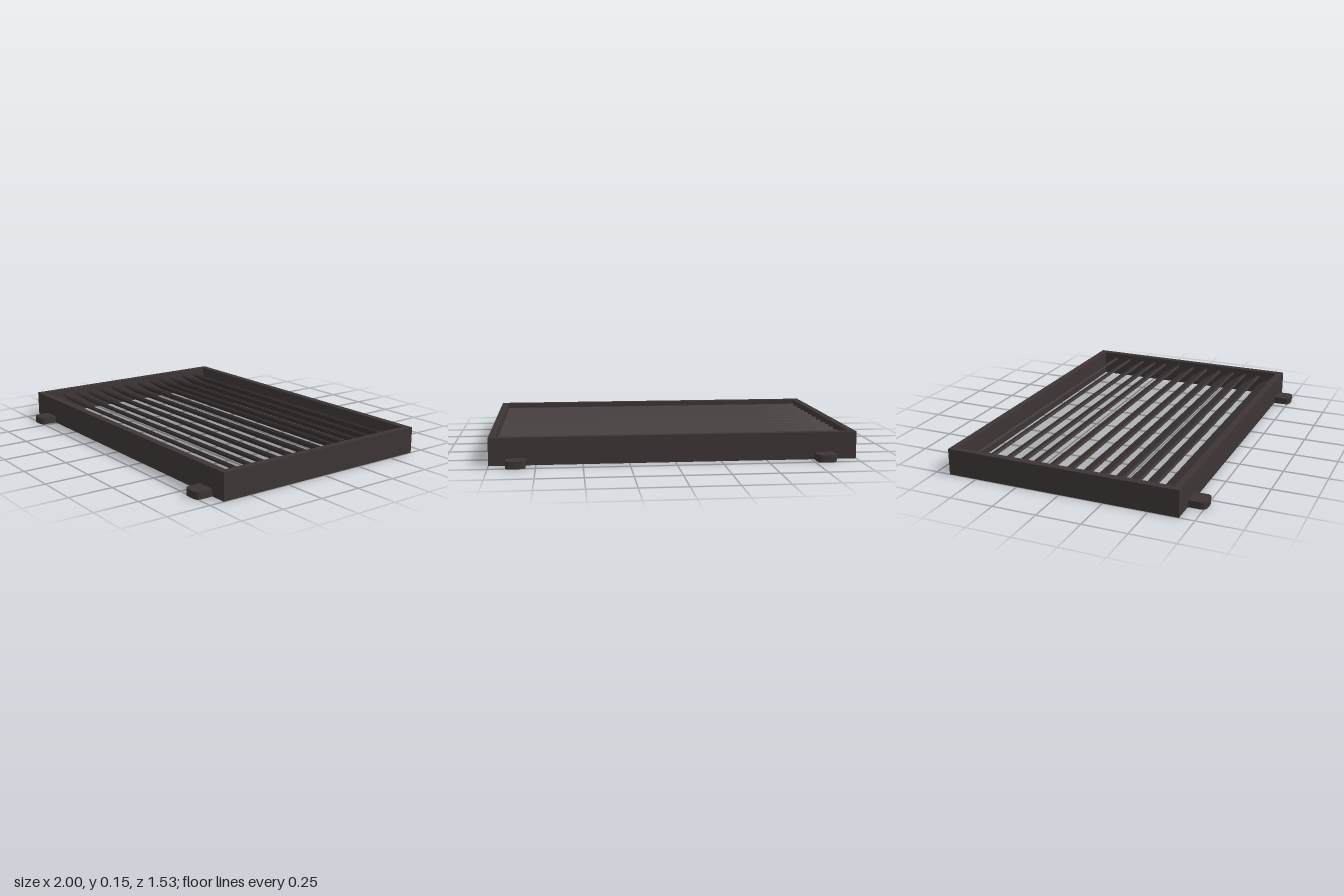
import * as THREE from 'three';

const WIDTH = 2, DEPTH = 1.333, HEIGHT = 0.15, RIM = 0.04;

function rectangle(target, w, d) {
  target.moveTo(-w / 2, -d / 2);
  target.lineTo(w / 2, -d / 2);
  target.lineTo(w / 2, d / 2);
  target.lineTo(-w / 2, d / 2);
  target.closePath();
  return target;
}

// Extrudes a plan outline upwards from y = 0
function extrudeUp(shape, height) {
  const geometry = new THREE.ExtrudeGeometry(shape, { depth: height, bevelEnabled: false, curveSegments: 5 });
  return geometry.rotateX(-Math.PI / 2);
}

// Round-ended tab, reaching out along plan +y
function tabOutline() {
  const shape = new THREE.Shape();
  shape.moveTo(-0.053, 0);
  shape.lineTo(0.053, 0);
  shape.lineTo(0.053, 0.072);
  shape.quadraticCurveTo(0.05, 0.093, 0.032, 0.096);
  shape.quadraticCurveTo(0, 0.1, -0.032, 0.096);
  shape.quadraticCurveTo(-0.05, 0.093, -0.053, 0.072);
  shape.closePath();
  return shape;
}

export function createModel() {
  const model = new THREE.Group();
  model.name = 'louverVent';
  const darkMetal = new THREE.MeshStandardMaterial({ color: 0x3d3535 });
  darkMetal.name = 'dark brown metal';

  const add = (name, geometry, parent = model) => {
    const mesh = new THREE.Mesh(geometry, darkMetal);
    mesh.name = name;
    parent.add(mesh);
    return mesh;
  };

  // Open rectangular frame
  const outline = rectangle(new THREE.Shape(), WIDTH, DEPTH);
  outline.holes.push(rectangle(new THREE.Path(), WIDTH - 2 * RIM, DEPTH - 2 * RIM));
  add('frame', extrudeUp(outline, HEIGHT));

  // Tilted slats, high at the front; each entry is the z of a front edge
  const slats = new THREE.Group();
  slats.name = 'slats';
  model.add(slats);
  const tilt = THREE.MathUtils.degToRad(33), length = 0.12, thickness = 0.014;
  const slatGeometry = new THREE.BoxGeometry(WIDTH - 2 * RIM, thickness, length);
  slatGeometry.translate(0, 0, -length / 2).rotateX(-tilt);
  const frontEdges = [-0.53, -0.43, -0.33, -0.24, -0.16, -0.06, 0.045, 0.145, 0.24, 0.335, 0.42, 0.515, 0.618];
  for (const z of frontEdges) {
    add('slat', slatGeometry, slats).position.set(0, 0.117, z - 0.004);
  }

  // Mounting tabs with a blind recess underneath
  const recessed = tabOutline();
  recessed.holes.push(new THREE.Path().absarc(0, 0.05, 0.028, 0, Math.PI * 2, true));
  const baseGeometry = extrudeUp(recessed, 0.028);
  const capGeometry = extrudeUp(tabOutline(), 0.012).translate(0, 0.028, 0);
  for (const x of [-0.818, 0.855]) {
    for (const side of [-1, 1]) {
      const tab = new THREE.Group();
      tab.name = side > 0 ? 'frontTab' : 'backTab';
      tab.position.set(x, 0, side * (DEPTH / 2 - 0.001));
      tab.rotation.y = side > 0 ? Math.PI : 0;
      add('tabBase', baseGeometry, tab);
      add('tabCap', capGeometry, tab);
      model.add(tab);
    }
  }

  return model;
}
